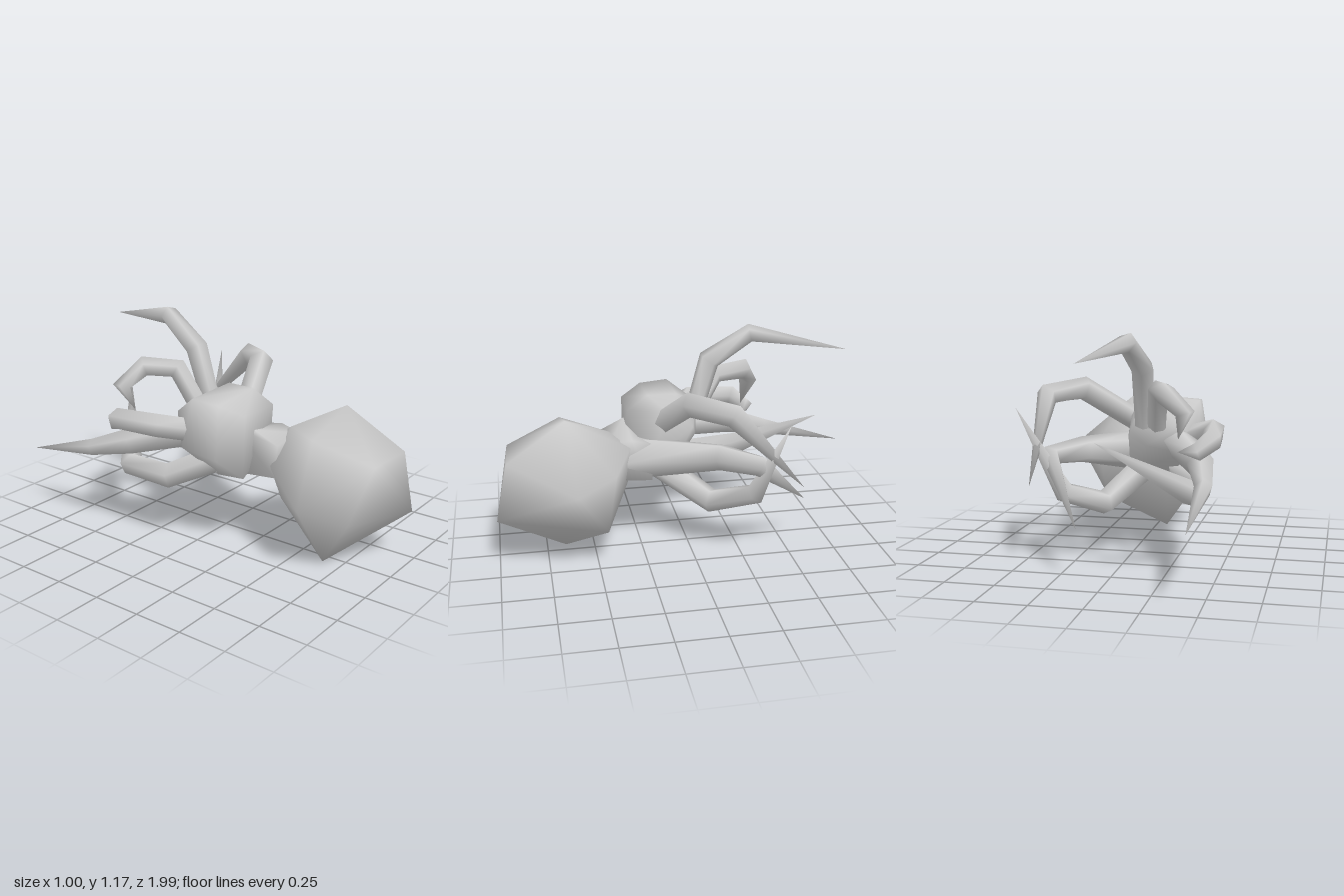
import * as THREE from 'three';
import { ConvexGeometry } from 'three/addons/geometries/ConvexGeometry.js';
import { mergeVertices } from 'three/addons/utils/BufferGeometryUtils.js';

const material = new THREE.MeshStandardMaterial({ color: 0xcccccc, side: THREE.DoubleSide });
const vectors = (points) => points.map((p) => new THREE.Vector3(...p));

// Faceted body volume with shared, smooth normals
function hull(name, points) {
  let geometry = new ConvexGeometry(vectors(points));
  geometry.deleteAttribute('normal');
  geometry = mergeVertices(geometry, 1e-4);
  geometry.computeVertexNormals();
  const mesh = new THREE.Mesh(geometry, material);
  mesh.name = name;
  return mesh;
}

// Jointed leg: five-sided rings at each joint, closing to a sharp tip
function leg(name, points, radii, sides = 5) {
  const path = vectors(points);
  const tip = path.length - 1;
  const positions = [];
  const index = [];
  let normal = new THREE.Vector3(0.3, 1, 0.2);
  for (let i = 0; i < tip; i++) {
    const out = path[i + 1].clone().sub(path[i]).normalize();
    const into = i ? path[i].clone().sub(path[i - 1]).normalize() : out;
    const tangent = out.clone().add(into).normalize();
    normal = normal.clone().addScaledVector(tangent, -normal.dot(tangent)).normalize();
    const side = tangent.clone().cross(normal);
    for (let j = 0; j < sides; j++) {
      const a = (j / sides) * Math.PI * 2;
      const p = path[i].clone()
        .addScaledVector(normal, radii[i] * Math.cos(a))
        .addScaledVector(side, radii[i] * Math.sin(a));
      positions.push(p.x, p.y, p.z);
      const k = (j + 1) % sides;
      const here = i * sides;
      if (i < tip - 1) {
        index.push(here + j, here + k, here + sides + j);
        index.push(here + k, here + sides + k, here + sides + j);
      } else {
        index.push(here + j, here + k, tip * sides);
      }
    }
  }
  positions.push(...path[tip].toArray());
  const geometry = new THREE.BufferGeometry();
  geometry.setAttribute('position', new THREE.Float32BufferAttribute(positions, 3));
  geometry.setIndex(index);
  geometry.computeVertexNormals();
  const mesh = new THREE.Mesh(geometry, material);
  mesh.name = name;
  return mesh;
}

export function createModel() {
  const model = new THREE.Group();
  model.name = 'spider';

  // Large angular abdomen
  model.add(hull('abdomen', [
    [-0.06, 0, 0.65], [-0.31, 0.36, 0.65], [-0.19, 0.68, 0.65], [0.14, 0.77, 0.64],
    [0.47, 0.49, 0.61], [0.25, 0.2, 0.45], [0.19, 0.28, 1.0], [0.19, 0.58, 0.94],
    [-0.09, 0.58, 0.93], [-0.2, 0.3, 0.86], [0.31, 0.52, 0.41], [-0.2, 0.5, 0.42],
    [0, 0.65, 0.41], [0.02, 0.37, 0.32], [-0.1, 0.3, 0.42], [0.08, 0.58, 0.31],
  ]));

  // Narrow waist joining the two body parts
  model.add(hull('waist', [
    [-0.2, 0.42, 0.2], [0.09, 0.4, 0.2], [0.09, 0.6, 0.2], [-0.2, 0.66, 0.2],
    [-0.19, 0.44, 0.44], [0.06, 0.4, 0.42], [0.06, 0.6, 0.42], [-0.17, 0.6, 0.44],
    [0.08, 0.62, 0.3], [-0.18, 0.66, 0.31],
  ]));

  // Thorax and head
  model.add(hull('thorax', [
    [-0.34, 0.81, 0.05], [-0.33, 0.8, 0.2], [-0.04, 0.82, 0.05], [-0.04, 0.82, 0.2],
    [0.03, 0.74, 0.1], [-0.37, 0.53, 0.22], [-0.36, 0.55, 0], [-0.27, 0.43, 0.31],
    [-0.26, 0.75, 0.31], [-0.02, 0.75, 0.31], [0.09, 0.5, 0.22], [0.05, 0.4, 0.12],
    [-0.2, 0.38, 0.1], [-0.08, 0.58, -0.06], [-0.27, 0.55, -0.1], [-0.27, 0.7, -0.1],
    [0.01, 0.65, -0.03],
  ]));

  // Four legs on the left
  model.add(leg('upperLeftLeg',
    [[-0.07, 0.68, -0.04], [-0.08, 0.98, -0.13], [-0.045, 1.12, -0.34], [0.085, 1.045, -0.82]],
    [0.05, 0.06, 0.05]));
  model.add(leg('archedLeftLeg',
    [[-0.02, 0.67, 0.13], [0.27, 0.86, 0.03], [0.42, 0.84, -0.15], [0.4, 0.43, -0.52]],
    [0.06, 0.065, 0.06]));
  model.add(leg('middleLeftLeg',
    [[-0.02, 0.5, 0.3], [0.23, 0.56, -0.13], [0.36, 0.55, -0.3], [0.14, 0.25, -0.61]],
    [0.12, 0.07, 0.055]));
  model.add(leg('lowerLeftLeg',
    [[-0.04, 0.44, 0.15], [0.13, 0.28, -0.1], [0.29, 0.37, -0.3], [0.5, 0.8, -0.41]],
    [0.075, 0.065, 0.055]));

  // Four legs on the right, curled tighter
  model.add(leg('upperRightLeg',
    [[-0.14, 0.68, -0.06], [-0.17, 0.88, -0.18], [-0.23, 0.88, -0.35], [-0.34, 0.79, -0.41], [-0.3, 0.66, -0.36]],
    [0.05, 0.055, 0.055, 0.05]));
  model.add(leg('archedRightLeg',
    [[-0.28, 0.62, 0], [-0.44, 0.67, -0.09], [-0.46, 0.66, -0.34], [-0.4, 0.61, -0.41], [-0.3, 0.6, -0.37]],
    [0.06, 0.06, 0.055, 0.045]));
  model.add(leg('middleRightLeg',
    [[-0.25, 0.6, -0.04], [-0.4, 0.53, -0.3], [-0.45, 0.46, -0.53], [-0.445, 0.35, -0.99]],
    [0.085, 0.07, 0.045]));
  model.add(leg('lowerRightLeg',
    [[-0.22, 0.46, 0.08], [-0.36, 0.38, -0.09], [-0.37, 0.39, -0.34], [0.03, 0.68, -0.69]],
    [0.07, 0.065, 0.065]));

  return model;
}
